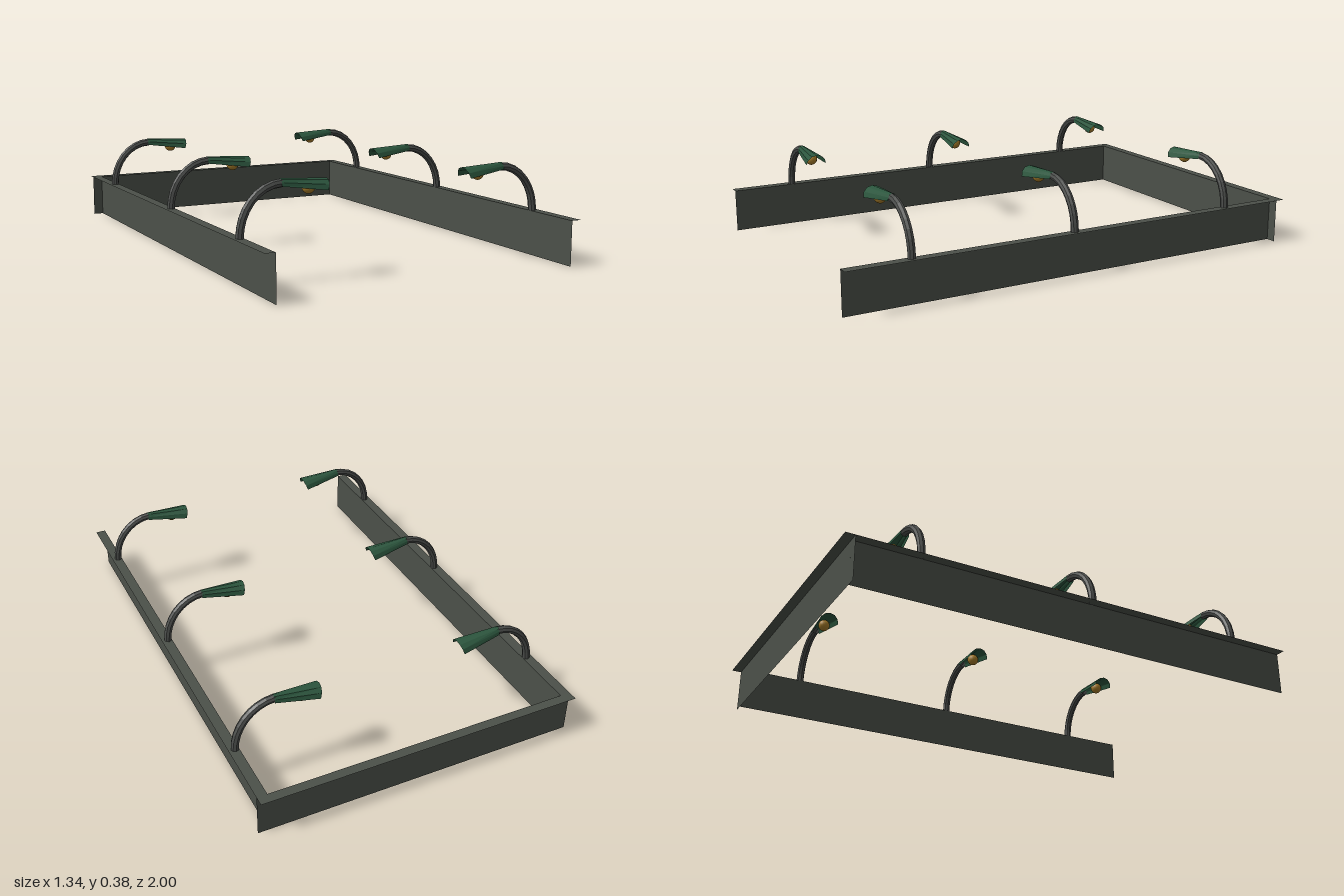
import * as THREE from 'three';

const wallMat = new THREE.MeshStandardMaterial({ color: 0x4b5049, side: THREE.DoubleSide });
wallMat.name = 'grey green steel';
const poleMat = new THREE.MeshStandardMaterial({ color: 0x4a4c4a, side: THREE.DoubleSide, flatShading: true });
poleMat.name = 'dark grey metal';
const shadeMat = new THREE.MeshStandardMaterial({ color: 0x2b553d, side: THREE.DoubleSide, flatShading: true });
shadeMat.name = 'green enamel';
const bulbMat = new THREE.MeshStandardMaterial({ color: 0xa67c2a });
bulbMat.name = 'amber glass';

const H = 0.18;      // wall height
const OUT = 0.67;    // outer edge of the ledge in x
const IN = 0.628;    // side wall plane in x
const BACK = -0.96;  // back wall plane in z

// Flat sheet, w by h, turned about x or y
function sheet(name, w, h, pos, rx = 0, ry = 0) {
  const mesh = new THREE.Mesh(new THREE.PlaneGeometry(w, h), wallMat);
  mesh.name = name;
  mesh.rotation.set(rx, ry, 0);
  mesh.position.set(...pos);
  return mesh;
}

// Half-cone hood, open below, lofted from arched cross-sections
function hoodGeometry() {
  const N = 6, pos = [], idx = [];
  const sections = [
    { xLow: 0.485, xTop: 0.485, y: 0.357, w: 0.018, h: 0.028 },
    { xLow: 0.311, xTop: 0.297, y: 0.335, w: 0.043, h: 0.040 },
  ];
  for (const s of sections) {
    for (let i = 0; i <= N; i++) {
      const a = (Math.PI * i) / N, up = Math.sin(a);
      pos.push(s.xLow + (s.xTop - s.xLow) * up, s.y + s.h * up, s.w * Math.cos(a));
    }
  }
  for (let i = 0; i < N; i++) {
    const a = i, b = i + 1, c = i + N + 1, d = i + N + 2;
    idx.push(a, b, c, b, d, c);
  }
  const g = new THREE.BufferGeometry();
  g.setAttribute('position', new THREE.Float32BufferAttribute(pos, 3));
  g.setIndex(idx);
  g.computeVertexNormals();
  return g;
}

// Quarter-arch pole rising from the ledge
function poleGeometry() {
  const pts = [];
  for (let i = 0; i <= 8; i++) {
    const a = (Math.PI / 2) * (i / 8);
    pts.push(new THREE.Vector3(0.478 + 0.166 * Math.cos(a), H + 0.188 * Math.sin(a), 0));
  }
  return new THREE.TubeGeometry(new THREE.CatmullRomCurve3(pts), 8, 0.016, 8, false);
}

export function createModel() {
  const model = new THREE.Group();
  model.name = 'lampFrame';

  // Walls and the narrow ledges reaching outward from their top edges
  for (const s of [1, -1]) {
    model.add(sheet('sideWall', 1 - BACK, H, [s * IN, H / 2, (1 + BACK) / 2], 0, s * Math.PI / 2));
    model.add(sheet('sideLedge', OUT - IN, 1 - BACK, [s * (OUT + IN) / 2, H, (1 + BACK) / 2], -Math.PI / 2));
  }
  model.add(sheet('backWall', OUT * 2, H, [0, H / 2, BACK]));
  model.add(sheet('backLedge', OUT * 2, 1 + BACK, [0, H, (BACK - 1) / 2], -Math.PI / 2));

  // Three facing pairs of lamps
  const pole = poleGeometry();
  const hood = hoodGeometry();
  const bulb = new THREE.SphereGeometry(0.025, 16, 12);
  for (const z of [0.735, 0.045, -0.695]) {
    for (const turn of [0, Math.PI]) {
      const lamp = new THREE.Group();
      lamp.name = 'lamp';
      const parts = [['lampPole', pole, poleMat], ['lampShade', hood, shadeMat], ['lampBulb', bulb, bulbMat]];
      for (const [name, geo, mat] of parts) {
        const mesh = new THREE.Mesh(geo, mat);
        mesh.name = name;
        if (name === 'lampBulb') mesh.position.set(0.371, 0.346, 0);
        lamp.add(mesh);
      }
      lamp.rotation.y = turn;
      lamp.position.z = z;
      model.add(lamp);
    }
  }
  return model;
}
